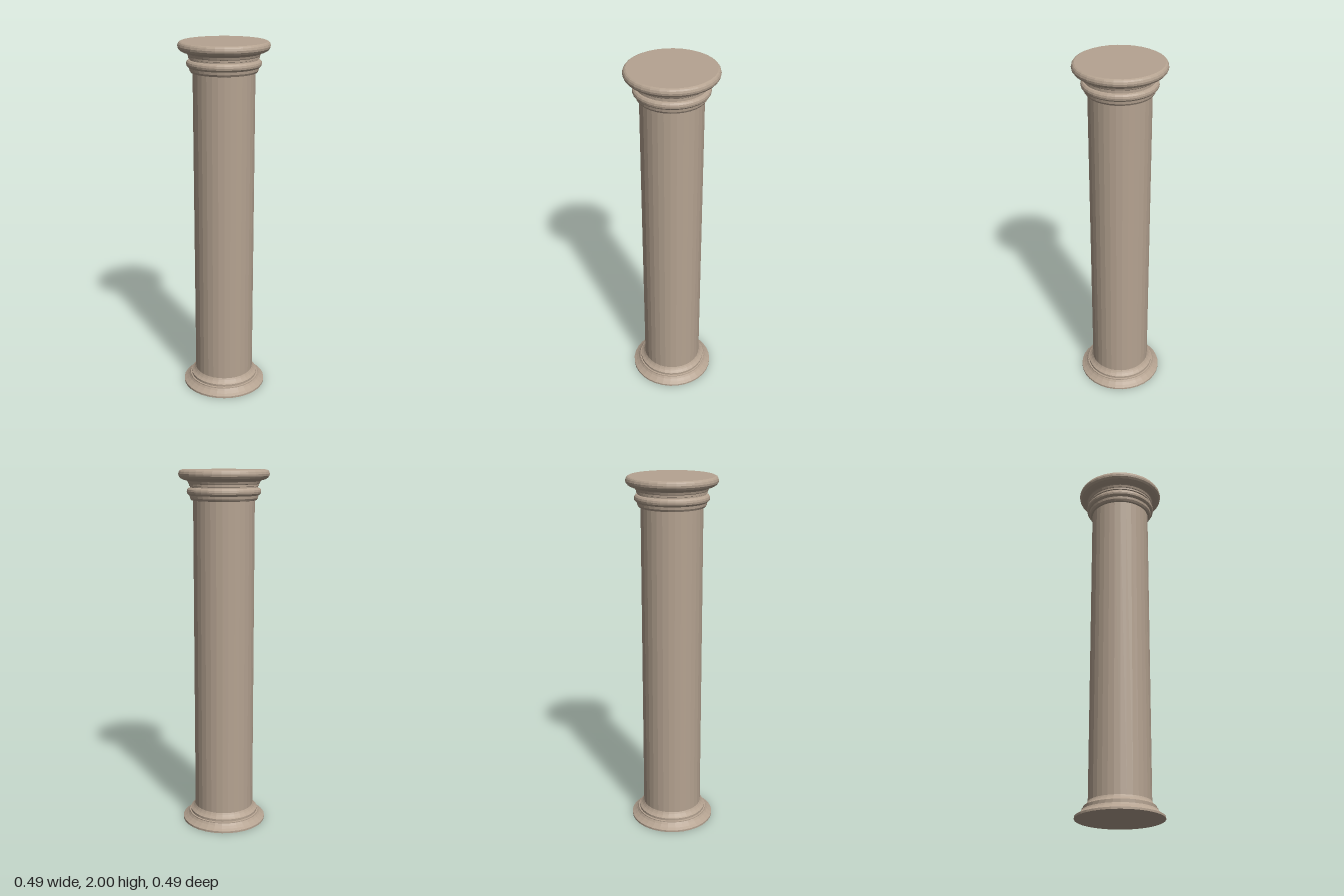
import * as THREE from 'three';

export function createModel() {
  const model = new THREE.Group();
  model.name = 'column';
  const stone = new THREE.MeshStandardMaterial({ color: 0xb5a391, flatShading: true });
  stone.name = 'warm stone';

  // Turned part from [radius, height] pairs, listed from bottom to top
  const turned = (name, profile) => {
    const points = profile.map(([r, y]) => new THREE.Vector2(r, y));
    const mesh = new THREE.Mesh(new THREE.LatheGeometry(points, 32), stone);
    mesh.name = name;
    model.add(mesh);
  };

  // Flared foot with two stepped rings
  turned('base', [
    [0, 0], [0.237, 0], [0.237, 0.011], [0.222, 0.02], [0.208, 0.031], [0.2, 0.042],
    [0.2, 0.047], [0.192, 0.049], [0.192, 0.062], [0.186, 0.066], [0.178, 0.073],
    [0.172, 0.081], [0.167, 0.09],
  ]);

  turned('shaft', [[0.167, 0.09], [0.167, 1.837]]);

  // Collar, bulging ring and narrow neck
  turned('capitalMouldings', [
    [0.167, 1.837], [0.177, 1.839], [0.184, 1.85], [0.186, 1.864], [0.192, 1.867],
    [0.199, 1.875], [0.201, 1.885], [0.199, 1.895], [0.192, 1.903], [0.183, 1.906],
    [0.183, 1.912], [0.189, 1.914], [0.189, 1.924], [0.192, 1.927], [0.196, 1.938],
    [0.2, 1.942],
  ]);

  // Rounded cushion with a flat top
  turned('capitalTop', [
    [0.2, 1.942], [0.222, 1.948], [0.236, 1.956], [0.244, 1.967], [0.246, 1.978],
    [0.243, 1.989], [0.238, 1.996], [0.23, 2], [0, 2],
  ]);

  return model;
}
